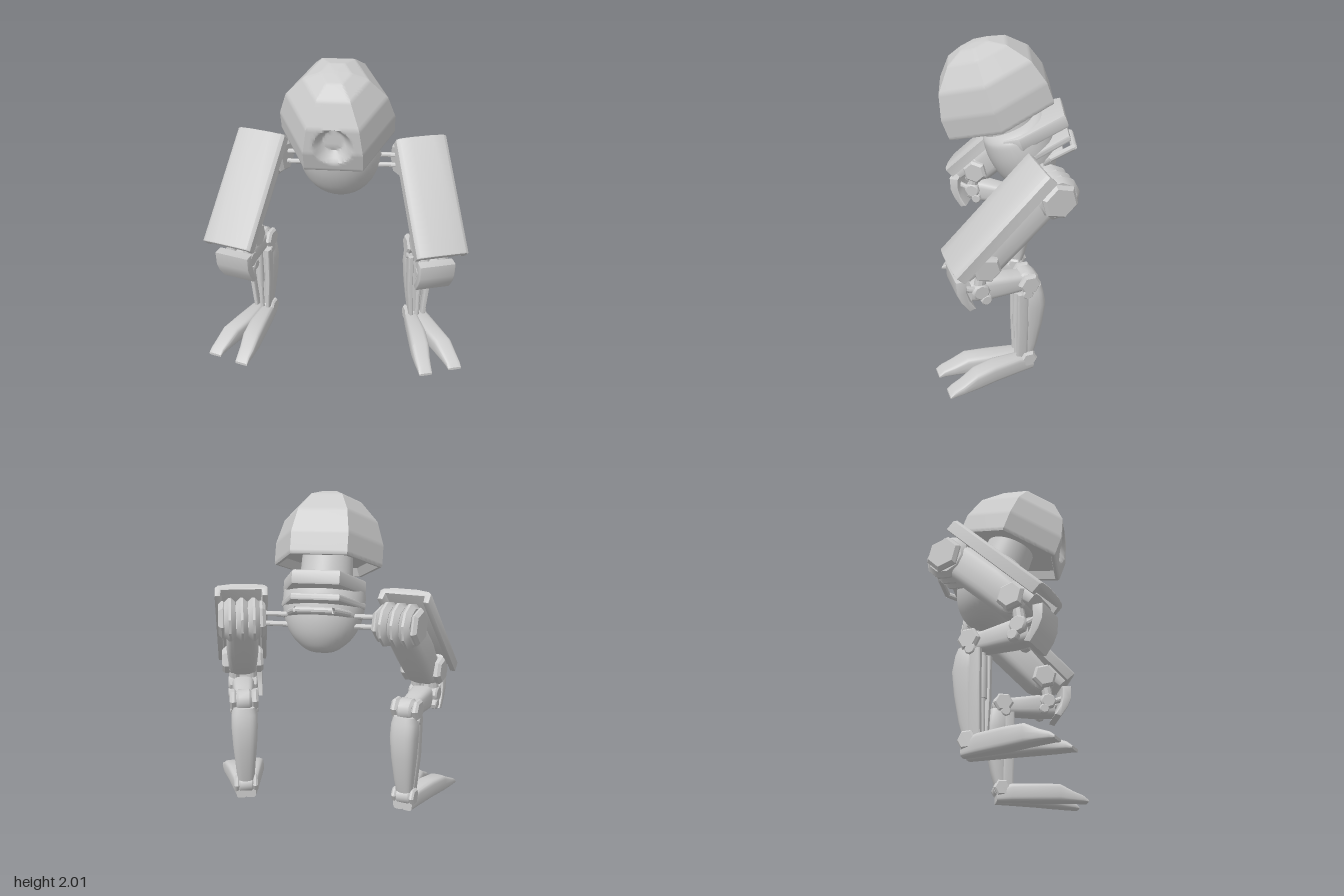
import * as THREE from 'three';
import { toCreasedNormals } from 'three/addons/utils/BufferGeometryUtils.js';

const grey = new THREE.MeshStandardMaterial({ color: 0xcccccc, side: THREE.DoubleSide });
const V2 = (x, y) => new THREE.Vector2(x, y);

function add(parent, name, geo, pos = [0, 0, 0], crease = 0.6) {
  const mesh = new THREE.Mesh(toCreasedNormals(geo, crease), grey);
  mesh.name = name;
  mesh.position.set(...pos);
  parent.add(mesh);
  return mesh;
}

function group(parent, name, pos, rx = 0) {
  const g = new THREE.Group();
  g.name = name;
  g.position.set(...pos);
  g.rotation.x = rx;
  parent.add(g);
  return g;
}

// Bevelled drum lying along x
function drum(r, w, sides, bevel = 0.2) {
  const h = w / 2, b = Math.min(r * bevel, h * 0.8);
  const pts = [V2(0, -h), V2(r - b, -h), V2(r, -h + b), V2(r, h - b), V2(r - b, h), V2(0, h)];
  return new THREE.LatheGeometry(pts, sides).rotateZ(Math.PI / 2);
}

// Rounded cross-sections [z, centreX, centreY, halfX, halfY] joined along z
function loft(rings, power = 0.55, sides = 24) {
  const pos = [], idx = [], n = rings.length;
  const bend = v => Math.sign(v) * Math.abs(v) ** power;
  for (const [z, cx, cy, hx, hy] of rings)
    for (let j = 0; j < sides; j++) {
      const a = (j / sides) * Math.PI * 2;
      pos.push(cx + hx * bend(Math.cos(a)), cy + hy * bend(Math.sin(a)), z);
    }
  for (let i = 0; i < n - 1; i++)
    for (let j = 0; j < sides; j++) {
      const a = i * sides + j, b = i * sides + (j + 1) % sides;
      idx.push(a, b, a + sides, b, b + sides, a + sides);
    }
  for (const [i, flip] of [[0, true], [n - 1, false]]) {
    const c = pos.length / 3, [z, cx, cy] = rings[i];
    pos.push(cx, cy, z);
    for (let j = 0; j < sides; j++) {
      const a = i * sides + j, b = i * sides + (j + 1) % sides;
      flip ? idx.push(c, b, a) : idx.push(c, a, b);
    }
  }
  const g = new THREE.BufferGeometry();
  g.setAttribute('position', new THREE.Float32BufferAttribute(pos, 3));
  g.setIndex(idx);
  return g;
}

function extrude(points, depth, bevel) {
  const g = new THREE.ExtrudeGeometry(new THREE.Shape(points.map(p => V2(...p))), {
    depth: depth - 2 * bevel, bevelEnabled: true, bevelSize: bevel, bevelOffset: -bevel, bevelThickness: bevel, bevelSegments: 2,
  });
  return g.translate(0, 0, bevel - depth / 2);
}

// Straight rod between two points
function rod(a, b, r) {
  const path = new THREE.LineCurve3(new THREE.Vector3(...a), new THREE.Vector3(...b));
  return new THREE.TubeGeometry(path, 1, r, 10);
}

// Six-sided dome with a round hollow in its front face
function domeGeometry() {
  const key = [[0, 0.05], [0.29, 0.05], [0.32, 0], [0.34, 0], [0.346, 0.01], [0.346, 0.14], [0.3, 0.29], [0.19, 0.415], [0.09, 0.46], [0, 0.468]];
  const pts = [];
  key.forEach(([r, y], i) => {
    const [r2, y2] = key[i + 1] || [r, y];
    const steps = i === key.length - 1 ? 1 : i < 4 ? 1 : 9;
    for (let k = 0; k < steps; k++) pts.push(V2(r + (r2 - r) * k / steps, y + (y2 - y) * k / steps));
  });
  const g = new THREE.LatheGeometry(pts, 144);
  const p = g.attributes.position, sixth = Math.PI / 3;
  for (let i = 0; i < p.count; i++) {
    let x = p.getX(i), y = p.getY(i), z = p.getZ(i);
    const phi = Math.atan2(x, z) + Math.PI * 2;
    const m = ((phi + sixth / 2) % sixth) - sixth / 2;
    const f = Math.cos(sixth / 2) / Math.cos(m);
    x *= f;
    z *= f * 1.11;
    const d = Math.hypot(x, y - 0.175);
    if (z > 0.2 && d < 0.115) z -= 0.065 * Math.min(1, (0.115 - d) / 0.05);
    p.setXYZ(i, x, y, z);
  }
  return g;
}

function buildBody(root) {
  const tilt = 0.352;
  const head = group(root, 'head', [0, 1.545, 0.027], tilt);
  add(head, 'headDome', domeGeometry(), [0, 0, 0], 0.7);

  const body = group(root, 'body', [0, 1.49, 0], tilt);
  add(body, 'neck', new THREE.CylinderGeometry(0.16, 0.17, 0.26, 32), [0, 0.0, -0.01]);
  const profile = [[0, -0.495], [0.07, -0.488], [0.13, -0.455], [0.19, -0.395], [0.235, -0.31], [0.258, -0.2], [0.255, -0.1], [0.235, -0.05], [0.17, -0.02], [0, -0.02]];
  const egg = new THREE.LatheGeometry(new THREE.SplineCurve(profile.map(p => V2(...p))).getPoints(36), 32);
  add(body, 'torso', egg.scale(1, 1, 0.84), [0, 0, -0.035], 0.7);

  // Stacked plates wrapping the back
  [[-0.085, 0.09, 0.36, 0.26], [-0.2, 0.045, 0.345, 0.265], [-0.27, 0.04, 0.28, 0.255]].forEach(([y, h, back, w]) => {
    const outline = [[-w, 0.06], [-w * 0.55, back], [w * 0.55, back], [w, 0.06], [w * 0.85, -0.04], [-w * 0.85, -0.04]];
    add(body, 'backPlate', extrude(outline, h, 0.015).rotateX(-Math.PI / 2), [0, y, 0]);
  });
  const bar = [[-0.18, -0.27, -0.18], [-0.11, -0.281, -0.344], [0.11, -0.281, -0.344], [0.18, -0.27, -0.18]];
  for (let i = 0; i < 3; i++) add(body, 'backHandle', rod(bar[i], bar[i + 1], 0.02));

  const button = add(root, 'rearButton', drum(0.055, 0.06, 6).rotateY(Math.PI / 2), [0, 1.115, -0.225]);
  button.rotation.x = -0.72;
  for (const s of [1, -1])
    for (const [y, z] of [[1.275, -0.215], [1.21, -0.2]])
      add(root, 'hipAxle', rod([s * 0.18, y, z], [s * 0.42, y, z], 0.016));
}

function buildLeg(root, s) {
  const leg = group(root, s > 0 ? 'leftLeg' : 'rightLeg', [s * 0.565, 0, 0]);
  leg.rotation.y = s * 0.297;

  // Thigh with its channel-shaped cover
  const thigh = group(leg, 'thigh', [0, 1.17, 0.11], Math.PI / 4);
  const channel = [[-0.165, -0.09], [-0.165, -0.025], [-0.145, -0.008], [-0.07, 0.002], [0.07, 0.002], [0.145, -0.008], [0.165, -0.025], [0.165, -0.09], [0.13, -0.09], [0.125, -0.045], [-0.125, -0.045], [-0.13, -0.09]];
  add(thigh, 'thighCover', extrude(channel, 0.78, 0.008));
  add(thigh, 'thighBeam', loft([[-0.32, 0, -0.2, 0.085, 0.09], [-0.25, 0, -0.19, 0.1, 0.108], [0.05, 0, -0.18, 0.105, 0.108], [0.24, 0, -0.185, 0.095, 0.1], [0.3, 0, -0.18, 0.08, 0.08]]));
  for (const x of [-0.073, 0, 0.073]) add(thigh, 'hipRoll', drum(0.14, 0.071, 10), [x, -0.216, -0.315]);
  for (const x of [-0.12, 0.12]) {
    add(thigh, 'hipCap', drum(0.115, 0.05, 6), [x, -0.216, -0.315]);
    add(thigh, 'kneeCap', drum(0.088, 0.06, 6), [x * 0.9, -0.17, 0.255]);
  }
  add(thigh, 'kneePin', drum(0.09, 0.19, 16), [0, -0.17, 0.255]);
  add(thigh, 'kneeBlock', loft([[0.22, 0, -0.12, 0.12, 0.05], [0.375, 0, -0.11, 0.115, 0.04]], 0.35));

  // Curved guard below the knee and the cluster of pivots behind it
  const guard = [[0.355, 0.8], [0.35, 0.71], [0.325, 0.65], [0.275, 0.578], [0.235, 0.59], [0.275, 0.66], [0.292, 0.72], [0.29, 0.8]];
  add(leg, 'kneeGuard', extrude(guard, 0.23, 0.008).rotateY(-Math.PI / 2), [s * -0.02, 0, 0]);
  for (const x of [-0.06, 0.06]) {
    add(leg, 'kneeStrut', rod([x, 0.87, 0.18], [x, 0.68, 0.21], 0.035));
    add(leg, 'guardStrut', rod([x, 0.69, 0.2], [x, 0.73, 0.31], 0.02));
    add(leg, 'lowerPivot', drum(0.055, 0.05, 8), [x * 1.25, 0.7, 0.2]);
    add(leg, 'smallPivot', drum(0.035, 0.05, 8), [x * 1.3, 0.64, 0.17]);
  }

  // Horizontal link running back to the hock
  add(leg, 'hockLink', loft([[-0.12, 0, 0.665, 0.055, 0.055], [0, 0, 0.67, 0.065, 0.066], [0.14, 0, 0.68, 0.075, 0.078], [0.25, 0, 0.67, 0.06, 0.06]]));
  add(leg, 'hockRoll', drum(0.073, 0.1, 12), [0, 0.67, -0.11]);
  for (const x of [-0.07, 0.07]) {
    add(leg, 'hockCap', drum(0.07, 0.045, 6), [x, 0.675, -0.11]);
    add(leg, 'hockBolt', drum(0.035, 0.045, 8), [x, 0.61, -0.095]);
  }

  // Shin: rounded calf at the back, rails and piston at the front
  const calf = [[0.1, 0, 0.115, 0.05, 0.04], [0.2, 0, 0.13, 0.062, 0.055], [0.36, 0, 0.14, 0.078, 0.075], [0.5, 0, 0.145, 0.086, 0.085], [0.59, 0, 0.135, 0.084, 0.078], [0.635, 0, 0.13, 0.07, 0.07]];
  add(leg, 'calf', loft(calf, 0.7).rotateX(-Math.PI / 2));
  for (const x of [-1, 1]) {
    const rail = loft([[0.1, x * 0.042, 0.075, 0.014, 0.035], [0.36, x * 0.062, 0.07, 0.018, 0.035], [0.61, x * 0.066, 0.068, 0.018, 0.035]], 0.45, 16);
    add(leg, 'shinRail', rail.rotateX(-Math.PI / 2));
    add(leg, 'ankleCap', drum(0.058, 0.035, 6), [x * 0.06, 0.09, -0.115]);
  }
  add(leg, 'pistonRod', rod([0, 0.1, -0.055], [0, 0.62, -0.055], 0.016));
  add(leg, 'pistonSleeve', new THREE.CylinderGeometry(0.026, 0.026, 0.25, 12), [0, 0.46, -0.055]);
  add(leg, 'anklePin', drum(0.055, 0.1, 12), [0, 0.09, -0.115]);

  // Foot: two long toes that part at the front
  const toes = {
    innerToe: [[-0.15, -0.03, 0.045, 0.035, 0.045], [-0.05, -0.038, 0.06, 0.048, 0.06], [0.12, -0.05, 0.062, 0.062, 0.062], [0.26, -0.07, 0.06, 0.062, 0.06], [0.35, -0.08, 0.036, 0.052, 0.036], [0.41, -0.084, 0.024, 0.046, 0.024], [0.445, -0.085, 0.009, 0.044, 0.009]],
    outerToe: [[-0.15, 0.03, 0.045, 0.035, 0.045], [-0.05, 0.038, 0.06, 0.048, 0.06], [0.12, 0.058, 0.062, 0.062, 0.062], [0.25, 0.09, 0.058, 0.06, 0.058], [0.34, 0.108, 0.034, 0.052, 0.034], [0.4, 0.117, 0.022, 0.047, 0.022], [0.43, 0.12, 0.009, 0.045, 0.009]],
  };
  for (const [name, rings] of Object.entries(toes))
    add(leg, name, loft(rings.map(([z, x, ...rest]) => [z, s * x, ...rest]), 0.5));
}

export function createModel() {
  const root = new THREE.Group();
  root.name = 'walker';
  buildBody(root);
  for (const s of [1, -1]) buildLeg(root, s);
  return root;
}
